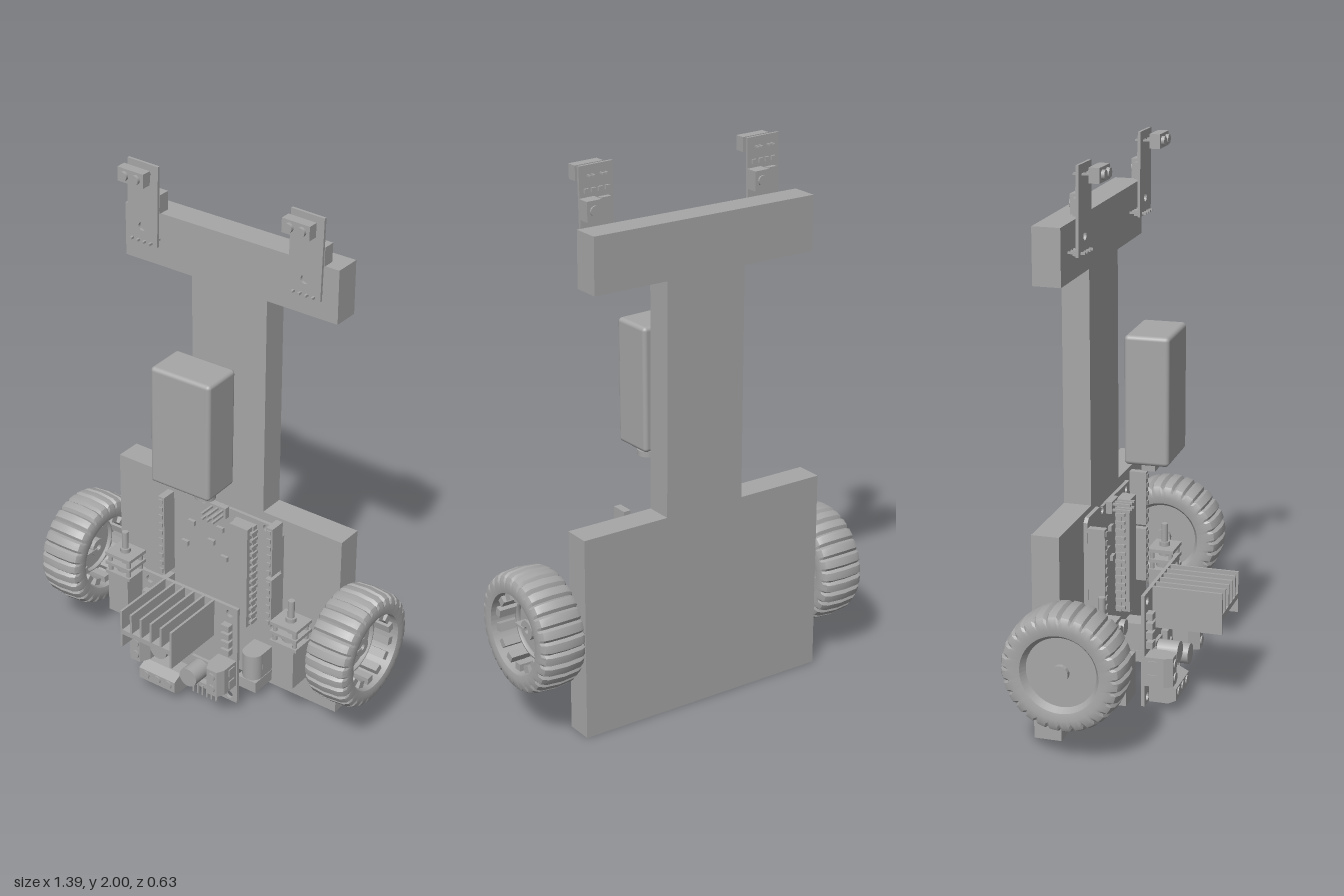
import * as THREE from 'three';
import { toCreasedNormals } from 'three/addons/utils/BufferGeometryUtils.js';
import { RoundedBoxGeometry } from 'three/addons/geometries/RoundedBoxGeometry.js';

const grey = new THREE.MeshStandardMaterial({ color: 0xa6a6a6 });
grey.name = 'plain grey';

function add(parent, name, geometry, x = 0, y = 0, z = 0) {
  const mesh = new THREE.Mesh(geometry, grey);
  mesh.name = name;
  mesh.position.set(x, y, z);
  parent.add(mesh);
  return mesh;
}

function group(parent, name, x = 0, y = 0, z = 0) {
  const g = new THREE.Group();
  g.name = name;
  g.position.set(x, y, z);
  parent.add(g);
  return g;
}

// Box given by its limits on each axis
function box(parent, name, x0, x1, y0, y1, z0, z1) {
  return add(parent, name, new THREE.BoxGeometry(x1 - x0, y1 - y0, z1 - z0),
    (x0 + x1) / 2, (y0 + y1) / 2, (z0 + z1) / 2);
}

// Cylinder pointing forward from z0 to z1
function stud(parent, name, x, y, r, z0, z1) {
  const g = new THREE.CylinderGeometry(r, r, z1 - z0, 20).rotateX(Math.PI / 2);
  return add(parent, name, g, x, y, (z0 + z1) / 2);
}

// Flat circuit board with round mounting holes
function board(parent, name, outline, holes, r, z0, depth) {
  const s = new THREE.Shape(outline.map(p => new THREE.Vector2(...p)));
  for (const [x, y] of holes) s.holes.push(new THREE.Path().absarc(x, y, r, 0, Math.PI * 2, true));
  return add(parent, name, new THREE.ExtrudeGeometry(s, { depth, bevelEnabled: false, curveSegments: 8 }), 0, 0, z0);
}

const rect = (x0, x1, y0, y1) => [[x0, y0], [x1, y0], [x1, y1], [x0, y1]];

function wheelGeometry() {
  const profile = [[0, -0.078], [0.03, -0.078], [0.03, -0.06], [0.125, -0.06], [0.14, -0.084], [0.165, -0.089],
    [0.19, -0.086], [0.205, -0.078], [0.214, -0.06], [0.219, 0], [0.214, 0.06], [0.205, 0.078], [0.19, 0.086],
    [0.165, 0.089], [0.146, 0.085], [0.14, -0.01], [0.035, -0.01], [0.035, 0.03], [0.012, 0.03], [0.012, 0], [0, 0]];
  const lugs = 28;
  const g = new THREE.LatheGeometry(profile.map(p => new THREE.Vector2(...p)), lugs * 5);
  // Press a groove between neighbouring tread lugs
  const p = g.attributes.position;
  for (let i = 0; i < p.count; i++) {
    const x = p.getX(i), z = p.getZ(i), r = Math.hypot(x, z);
    const step = Math.round((Math.atan2(z, x) / (Math.PI * 2) + 1) * lugs * 5) % 5;
    if (r > 0.18 && step === 0) {
      p.setX(i, x * 0.95);
      p.setZ(i, z * 0.95);
    }
  }
  return toCreasedNormals(g.rotateZ(-Math.PI / 2), 0.5);
}

function addWheel(root, name, x, y, geometry) {
  const w = group(root, name, x, y, -0.1);
  add(w, 'tyre and rim', geometry);
  // Ring of blocks inside the open rim
  for (let i = 0; i < 14; i++) {
    const a = i / 14 * Math.PI * 2;
    const b = add(w, 'rim block', new THREE.BoxGeometry(0.085, 0.026, 0.03), 0.025, Math.cos(a) * 0.128, Math.sin(a) * 0.128);
    b.rotation.x = a;
  }
  const ring = add(w, 'rim ring', new THREE.TorusGeometry(0.11, 0.006, 6, 48).rotateY(Math.PI / 2), -0.006);
  ring.scale.x = 2;
  box(w, 'hub key', -0.01, 0.034, -0.004, 0.004, 0.012, 0.07);
}

function addMotor(root, name, x, y) {
  const m = group(root, name, x, y, -0.043);
  box(m, 'motor can', -0.046, 0.046, 0.0, 0.165, -0.048, 0.048);
  add(m, 'rear cap', new THREE.CylinderGeometry(0.022, 0.022, 0.02, 20), 0, -0.004, 0);
  for (const h of [0.165, 0.205, 0.245]) box(m, 'gearbox plate', -0.058, 0.058, h, h + 0.013, -0.05, 0.05);
  for (const sx of [-1, 1]) for (const sz of [-1, 1])
    add(m, 'gearbox post', new THREE.CylinderGeometry(0.009, 0.009, 0.09, 10), sx * 0.043, 0.21, sz * 0.036);
  add(m, 'gear', new THREE.CylinderGeometry(0.032, 0.032, 0.03, 24), 0, 0.19, 0);
  add(m, 'small gear', new THREE.CylinderGeometry(0.024, 0.024, 0.03, 24), 0.01, 0.23, 0);
  add(m, 'collar', new THREE.CylinderGeometry(0.02, 0.02, 0.02, 20), 0, 0.265, 0);
  add(m, 'shaft', new THREE.CylinderGeometry(0.0125, 0.0125, 0.09, 20), 0, 0.3, 0);
}

function addSensor(root, name, x) {
  const s = group(root, name, x, 1.845, -0.12);
  s.rotation.z = -0.025;
  board(s, 'sensor board', rect(-0.066, 0.066, -0.152, 0.152), [[0, -0.09]], 0.016, 0, 0.01);
  box(s, 'eye housing', -0.055, 0.055, 0.093, 0.145, 0.04, 0.078);
  for (const e of [-0.025, 0.025]) {
    stud(s, 'eye', e, 0.119, 0.017, 0.076, 0.09);
    for (const d of [-0.008, 0.008]) box(s, 'eye leg', e + d - 0.003, e + d + 0.003, 0.115, 0.121, -0.02, 0.05);
  }
  box(s, 'trimmer', 0.01, 0.068, -0.025, 0.045, -0.046, 0);
  stud(s, 'trimmer screw', 0.039, 0.01, 0.018, -0.052, -0.045);
  box(s, 'comparator chip', -0.045, -0.005, -0.02, 0.04, -0.018, 0);
  for (let i = 0; i < 4; i++) {
    const px = -0.04 + i * 0.027;
    box(s, 'pin', px - 0.004, px + 0.004, -0.146, -0.138, -0.035, 0.025);
    box(s, 'resistor', px - 0.008, px + 0.008, 0.06, 0.075, -0.008, 0);
  }
  box(s, 'pin base', -0.053, 0.053, -0.15, -0.13, -0.016, 0);
}

function addController(root) {
  const c = group(root, 'controllerBoard');
  board(c, 'controller circuit board',
    [[-0.265, 0.05], [0.25, 0.05], [0.25, 0.69], [0.22, 0.72], [-0.1, 0.72], [-0.13, 0.735], [-0.25, 0.735], [-0.265, 0.72]],
    [[-0.1, 0.712], [0.18, 0.7], [-0.25, 0.21], [0.235, 0.21]], 0.013, -0.152, 0.015);
  // Socket strips with a row of openings
  for (const [x, y0, n] of [[-0.25, 0.36, 10], [-0.25, 0.13, 6], [0.238, 0.33, 6], [0.238, 0.55, 6]]) {
    const h = n * 0.034;
    box(c, 'socket strip', x - 0.014, x + 0.014, y0, y0 + h, -0.138, -0.075);
    for (let i = 0; i < n; i++) {
      const y = y0 + (i + 0.5) * h / n;
      box(c, 'socket contact', x - 0.008, x + 0.008, y - 0.008, y + 0.008, -0.08, -0.07);
    }
  }
  box(c, 'usb socket', -0.17, -0.055, 0, 0.165, -0.138, -0.03);
  // Power jack: square front, round barrel
  box(c, 'power jack front', 0.135, 0.22, 0.04, 0.085, -0.138, -0.03);
  const barrel = add(c, 'power jack barrel', new THREE.CylinderGeometry(0.04, 0.04, 0.11, 24), 0.178, 0.135, -0.072);
  barrel.name = 'power jack barrel';
  box(c, 'power jack base', 0.137, 0.218, 0.08, 0.19, -0.138, -0.075);
  // Main chip with two rows of legs
  box(c, 'main chip', 0.055, 0.135, 0.27, 0.7, -0.115, -0.085);
  box(c, 'chip socket', 0.05, 0.14, 0.27, 0.7, -0.138, -0.115);
  for (let i = 0; i < 14; i++) for (const x of [0.05, 0.14])
    box(c, 'chip leg', x - 0.006, x + 0.006, 0.28 + i * 0.03, 0.292 + i * 0.03, -0.138, -0.1);
  // Programming header
  box(c, 'header base', -0.057, 0.015, 0.685, 0.73, -0.138, -0.115);
  for (let i = 0; i < 6; i++) {
    const x = -0.045 + (i % 3) * 0.024, y = 0.697 + Math.floor(i / 3) * 0.022;
    box(c, 'header pin', x - 0.004, x + 0.004, y - 0.004, y + 0.004, -0.15, -0.05);
  }
  for (const [x, y] of [[-0.15, 0.6], [-0.06, 0.55], [-0.18, 0.5], [-0.02, 0.62], [0.0, 0.5]])
    box(c, 'small component', x - 0.015, x + 0.015, y - 0.01, y + 0.01, -0.138, -0.125);
  for (const x of [-0.1, -0.04]) stud(c, 'controller capacitor', x, 0.25, 0.028, -0.138, -0.07);
}

function addTerminal(parent, name, x, y, angle, n) {
  // Chamfered block; the wires enter along its local -y side
  const t = group(parent, name, x, y, 0.06);
  t.rotation.z = angle;
  const w = n * 0.055, s = new THREE.Shape();
  [[-0.04, 0], [0.04, 0], [0.04, 0.06], [0.02, 0.1], [-0.025, 0.1], [-0.04, 0.07]].forEach((p, i) => i ? s.lineTo(...p) : s.moveTo(...p));
  const g = new THREE.ExtrudeGeometry(s, { depth: w, bevelEnabled: false });
  // Profile axes (across, height, length) become (y, z, x)
  g.applyMatrix4(new THREE.Matrix4().set(0, 0, 1, -w / 2, 1, 0, 0, 0, 0, 1, 0, 0, 0, 0, 0, 1));
  add(t, 'terminal body', g);
  for (let i = 0; i < n; i++) {
    const px = (i - (n - 1) / 2) * 0.052;
    stud(t, 'terminal screw', px, 0, 0.017, 0.095, 0.105);
    box(t, 'wire entry', px - 0.016, px + 0.016, -0.044, -0.038, 0.012, 0.045);
  }
}

function addDriver(root) {
  const d = group(root, 'motorDriver');
  board(d, 'driver circuit board', rect(-0.235, 0.2, 0.04, 0.46),
    [[-0.2, 0.43], [0.165, 0.43], [-0.2, 0.065], [0.165, 0.065]], 0.016, 0.047, 0.013);
  // Heat sink
  box(d, 'heat sink base', -0.137, 0.095, 0.36, 0.38, 0.06, 0.315);
  for (let i = 0; i < 6; i++) {
    const x = -0.137 + i * 0.0447, outer = i === 0 || i === 5;
    box(d, 'heat sink fin', x, x + 0.009, outer ? 0.305 : 0.38, 0.46, 0.06, 0.315);
  }
  box(d, 'driver chip', -0.115, 0.075, 0.335, 0.36, 0.08, 0.2);
  for (let i = 0; i < 8; i++) {
    const x = -0.108 + i * 0.025;
    box(d, 'driver chip leg', x - 0.004, x + 0.004, 0.31, 0.35, 0.055, 0.09);
  }
  addTerminal(d, 'leftTerminal', 0.155, 0.175, Math.PI / 2, 2);
  addTerminal(d, 'rightTerminal', -0.195, 0.175, -Math.PI / 2, 2);
  addTerminal(d, 'powerTerminal', -0.095, 0.075, 0, 3);
  for (const [x, y] of [[-0.095, 0.205], [0.042, 0.14]]) {
    stud(d, 'capacitor', x, y, 0.038, 0.06, 0.15);
    box(d, 'capacitor base', x - 0.04, x + 0.04, y - 0.04, y + 0.04, 0.06, 0.072);
  }
  // Bent control pins
  box(d, 'pin base', 0.01, 0.135, 0.065, 0.085, 0.06, 0.085);
  for (let i = 0; i < 6; i++) {
    const x = 0.02 + i * 0.021;
    box(d, 'control pin', x - 0.004, x + 0.004, 0.03, 0.075, 0.08, 0.088);
  }
  // Diodes beside the heat sink
  for (const x of [-0.2, 0.16]) for (let i = 0; i < 4; i++)
    box(d, 'diode', x - 0.018, x + 0.018, 0.255 + i * 0.036, 0.28 + i * 0.036, 0.06, 0.085);
  box(d, 'regulator', -0.03, 0.0, 0.2, 0.25, 0.06, 0.085);
}

export function createModel() {
  const root = new THREE.Group();
  root.name = 'balancingRobot';

  // Upright frame
  const frame = group(root, 'frame');
  box(frame, 'lower plate', -0.508, 0.492, 0, 0.75, -0.257, -0.157);
  box(frame, 'neck', -0.165, 0.153, 0.75, 1.6, -0.257, -0.157);
  box(frame, 'top bar', -0.456, 0.44, 1.6, 1.8, -0.257, -0.157);

  const wheel = wheelGeometry();
  addWheel(root, 'leftWheel', 0.603, 0.393, wheel);
  addWheel(root, 'rightWheel', -0.607, 0.333, wheel);
  addMotor(root, 'leftMotor', 0.362, 0.168);
  addMotor(root, 'rightMotor', -0.398, 0.162);
  addSensor(root, 'leftSensor', 0.337);
  addSensor(root, 'rightSensor', -0.343);
  addController(root);
  addDriver(root);

  // Battery pack
  const battery = group(root, 'battery', -0.02, 1.138, 0.035);
  battery.rotation.set(0, 0.03, -0.008);
  add(battery, 'battery case', new RoundedBoxGeometry(0.25, 0.463, 0.16, 3, 0.015));
  box(battery, 'small socket', -0.095, -0.045, -0.258, -0.225, -0.025, 0.025);
  add(battery, 'socket neck', new THREE.CylinderGeometry(0.03, 0.03, 0.03, 20), 0.057, -0.24, 0);
  add(battery, 'socket cap', new THREE.CylinderGeometry(0.038, 0.038, 0.02, 20), 0.057, -0.262, 0);
  return root;
}
